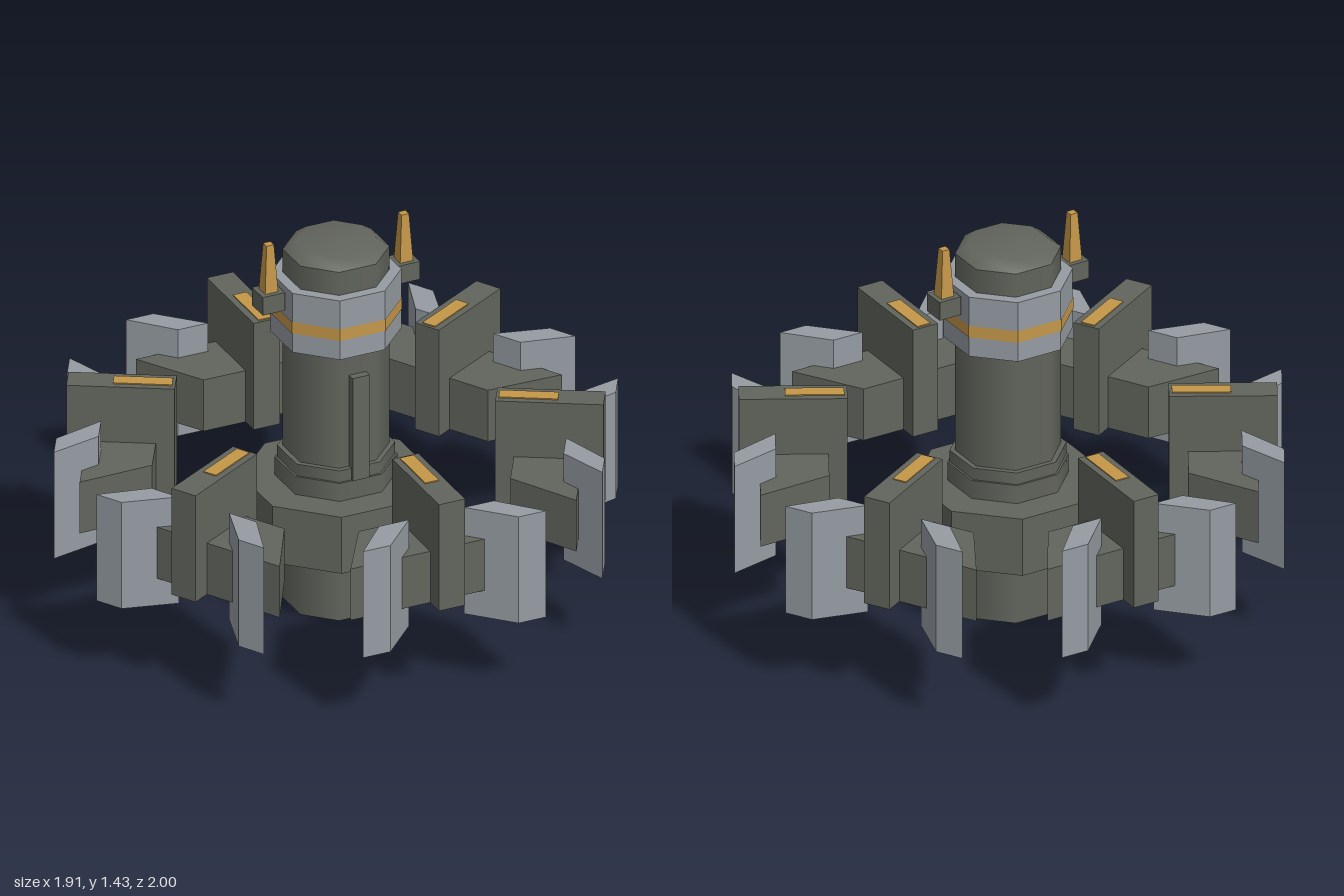
import * as THREE from 'three';

const mat = (name, color) => {
  const m = new THREE.MeshStandardMaterial({ color });
  m.name = name;
  return m;
};

export function createModel() {
  const model = new THREE.Group();
  const dark = mat('dark olive grey', 0x62655d);
  const silver = mat('silver grey', 0x959ca2);
  const gold = mat('gold', 0xc49749);
  const TWIST = THREE.MathUtils.degToRad(7); // turn of the octagonal core

  const add = (parent, name, geo, material) => {
    const mesh = new THREE.Mesh(geo, material);
    mesh.name = name;
    parent.add(mesh);
    return mesh;
  };
  const flat = (geo) => {
    const g = geo.toNonIndexed();
    g.computeVertexNormals();
    return g;
  };
  // Eight-sided drum between two heights
  const drum = (r, y0, y1, open = false) =>
    new THREE.CylinderGeometry(r, r, y1 - y0, 8, 1, open)
      .rotateY(TWIST).translate(0, (y0 + y1) / 2, 0);
  // Vertical prism from a plan outline of [x, z] points
  const prism = (pts, y0, y1) => {
    const shape = new THREE.Shape(pts.map(([x, z]) => new THREE.Vector2(x, z)));
    return new THREE.ExtrudeGeometry(shape, { depth: y1 - y0, bevelEnabled: false })
      .rotateX(Math.PI / 2).translate(0, y1, 0);
  };
  const box = (w, h, d, x, y, z) => new THREE.BoxGeometry(w, h, d).translate(x, y, z);

  // Central column and domed cap
  add(model, 'column', drum(0.185, 0, 1.36), dark);
  const capProfile = [[0.185, 1.36], [0.14, 1.393], [0, 1.398]].map(p => new THREE.Vector2(...p));
  add(model, 'cap', new THREE.LatheGeometry(capProfile, 8).rotateY(TWIST), dark);

  // Wide flange with two stepped rings above it
  add(model, 'flange', flat(drum(0.33, 0.26, 0.48)), dark);
  add(model, 'lowerRing', drum(0.212, 0.48, 0.55), dark);
  add(model, 'upperRing', drum(0.204, 0.55, 0.595), dark);

  // Raised panel on one face of the column
  const panel = add(model, 'columnPanel', box(0.065, 0.4, 0.06, 0, 0.75, 0.17), dark);
  panel.rotation.y = TWIST + Math.PI / 8;

  // Collar with a painted band
  add(model, 'collar', flat(drum(0.226, 1.04, 1.27)), silver);
  add(model, 'collarBand', flat(drum(0.229, 1.115, 1.16, true)), gold);

  // Two antennas on brackets, on opposite sides of the collar
  for (const az of [120, -60]) {
    const antenna = new THREE.Group();
    antenna.name = 'antenna';
    add(antenna, 'bracket', box(0.085, 0.07, 0.085, 0, 1.22, 0.26), dark);
    const spike = new THREE.CylinderGeometry(0.02, 0.036, 0.185, 4)
      .rotateY(Math.PI / 4).translate(0, 1.3425, 0.26);
    add(antenna, 'spike', flat(spike), gold);
    antenna.rotation.y = THREE.MathUtils.degToRad(az);
    model.add(antenna);
  }

  // Six detached pods around the column
  for (let i = 0; i < 6; i++) {
    const pod = new THREE.Group();
    pod.name = 'pod';
    add(pod, 'podBody',
      prism([[-0.21, 0.62], [0.21, 0.62], [0.355, 0.86], [-0.355, 0.86]], 0.395, 0.595), dark);
    add(pod, 'podPlate', box(0.1, 0.415, 0.375, 0, 0.6025, 0.7425), dark);
    add(pod, 'podStripe', box(0.052, 0.006, 0.205, 0, 0.811, 0.668), gold);
    for (const s of [-1, 1]) {
      const fin = [[0.105, 0.805], [0.22, 0.805], [0.35, 0.95], [0.245, 0.95]];
      add(pod, 'podFin', prism(fin.map(([x, z]) => [s * x, z]), 0.29, 0.705), silver);
    }
    pod.rotation.y = THREE.MathUtils.degToRad(29.2 + 60 * i);
    model.add(pod);
  }
  return model;
}
